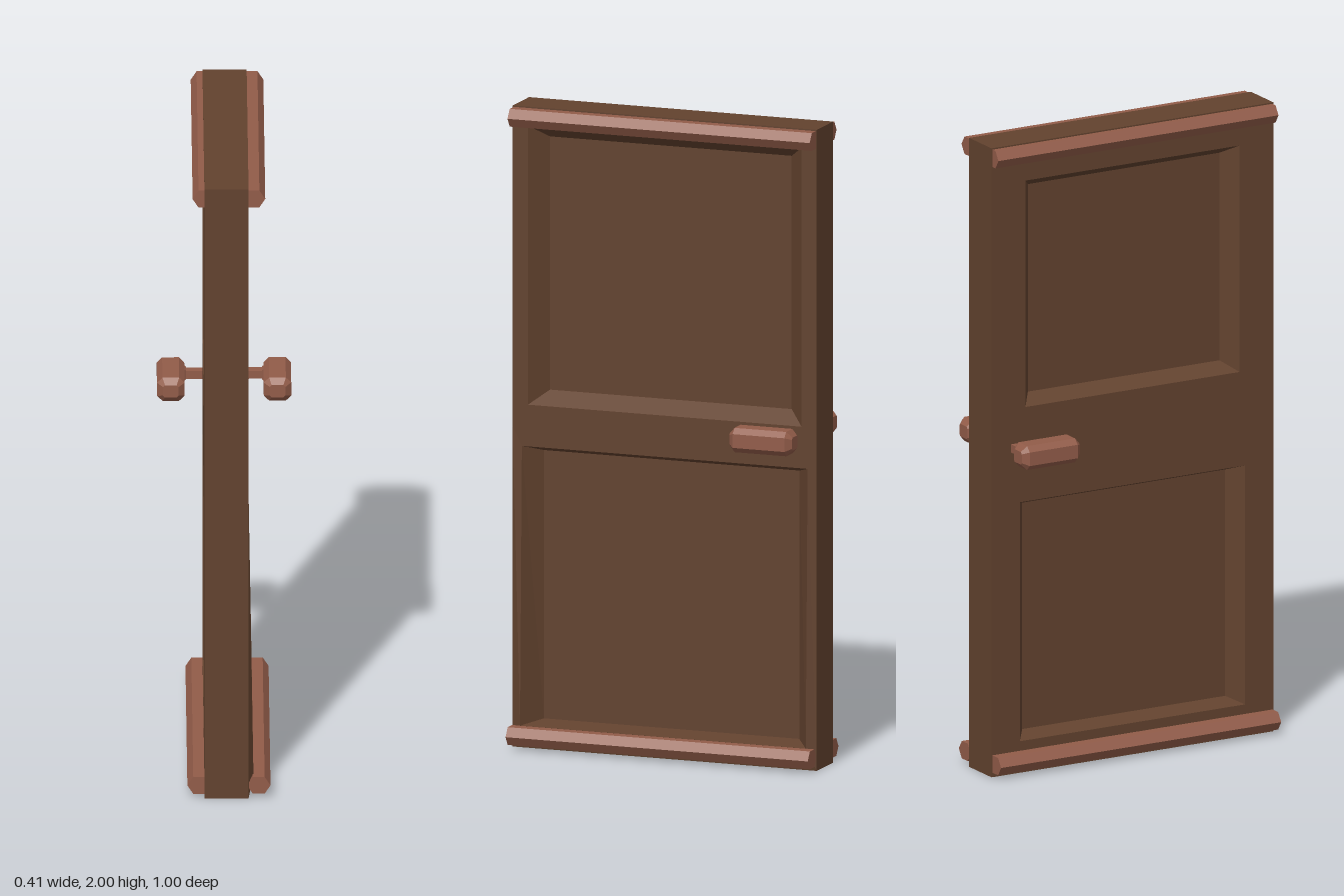
import * as THREE from 'three';

const darkWood = new THREE.MeshStandardMaterial({ color: 0x62422e });
darkWood.name = 'dark wood';
const redWood = new THREE.MeshStandardMaterial({ color: 0x925c49 });
redWood.name = 'reddish wood';

// Rectangle in a plane of constant x; the bottom edge may sit at another x.
// Order: bottom +z, bottom -z, top -z, top +z.
const rect = (x, z0, z1, y0, y1, xBottom = x) =>
  [[xBottom, y0, z1], [xBottom, y0, z0], [x, y0 + (y1 - y0), z0], [x, y1, z1]];

// Door leaf: each face has two sunken panels with sloping sides.
function makeLeaf() {
  const pos = [];
  const quad = (a, b, c, d) => pos.push(...a, ...b, ...c, ...a, ...c, ...d);
  const right = 0.07, left = -0.065, floorR = 0.013, floorL = -0.012;

  function panel(loops, flip) {
    const put = (a, b, c, d) => (flip ? quad(d, c, b, a) : quad(a, b, c, d));
    for (let k = 0; k < loops.length - 1; k++) {
      for (let i = 0; i < 4; i++) {
        const j = (i + 1) % 4;
        put(loops[k][i], loops[k][j], loops[k + 1][j], loops[k + 1][i]);
      }
    }
    put(...loops[loops.length - 1]);
  }

  // +x face; the lower rim swells slightly towards the bottom
  panel([rect(right, -0.5, 0.5, 1, 2), rect(right, -0.45, 0.45, 1.07, 1.94),
    rect(floorR, -0.395, 0.4, 1.11, 1.9)], false);
  panel([rect(right, -0.5, 0.5, 0, 1), rect(right, -0.47, 0.47, 0.07, 0.94, 0.085),
    rect(floorR, -0.42, 0.42, 0.083, 0.92)], false);
  // -x face
  panel([rect(left, -0.5, 0.5, 1, 2), rect(left, -0.38, 0.38, 1.16, 1.88),
    rect(floorL, -0.34, 0.34, 1.19, 1.85)], true);
  panel([rect(left, -0.5, 0.5, 0, 1), rect(left, -0.4, 0.4, 0.1, 0.86),
    rect(floorL, -0.36, 0.36, 0.12, 0.84)], true);

  // Outer edges
  const r = rect(right, -0.5, 0.5, 0, 2), l = rect(left, -0.5, 0.5, 0, 2);
  for (let i = 0; i < 4; i++) {
    const j = (i + 1) % 4;
    quad(r[j], r[i], l[i], l[j]);
  }
  const geo = new THREE.BufferGeometry();
  geo.setAttribute('position', new THREE.Float32BufferAttribute(pos, 3));
  geo.computeVertexNormals();
  return geo;
}

// Hexagonal rail lying along z
function hexRail() {
  const shape = new THREE.Shape();
  for (let i = 0; i < 6; i++) {
    const a = (i * Math.PI) / 3;
    shape[i ? 'lineTo' : 'moveTo'](0.036 * Math.cos(a), 0.032 * Math.sin(a));
  }
  return new THREE.ExtrudeGeometry(shape, { depth: 0.994, bevelEnabled: false })
    .translate(0, 0, -0.497);
}

// Chamfered grip along z with tapered ends
function gripGeometry() {
  const w = 0.024, h = 0.02, c = 0.006;
  const shape = new THREE.Shape([
    [w, -h + c], [w, h - c], [w - c, h], [-w + c, h],
    [-w, h - c], [-w, -h + c], [-w + c, -h], [w - c, -h],
  ].map(([x, y]) => new THREE.Vector2(x, y)));
  return new THREE.ExtrudeGeometry(shape, {
    depth: 0.17, bevelEnabled: true, bevelSegments: 1, bevelThickness: 0.018, bevelSize: 0.018,
  }).translate(0, 0, -0.085);
}

export function createModel() {
  const model = new THREE.Group();
  model.name = 'door';
  const add = (name, geo, mat, x, y, z, parent = model) => {
    const mesh = new THREE.Mesh(geo, mat);
    mesh.name = name;
    mesh.position.set(x, y, z);
    parent.add(mesh);
    return mesh;
  };

  add('doorLeaf', makeLeaf(), darkWood, 0, 0, 0);

  // Rails across the top and bottom of both faces
  const rail = hexRail();
  add('topRailLeft', rail, redWood, 0.085, 1.968, 0);
  add('topRailRight', rail, redWood, -0.065, 1.968, 0);
  add('bottomRailLeft', rail, redWood, 0.101, 0.042, 0);
  add('bottomRailRight', rail, redWood, -0.081, 0.042, 0);

  // A handle on each face: thin stem, flared collar and grip
  const grip = gripGeometry();
  const stem = new THREE.BoxGeometry(0.09, 0.026, 0.03);
  const collar = new THREE.CylinderGeometry(0.036, 0.021, 0.014, 4).toNonIndexed()
    .rotateY(Math.PI / 4).rotateZ(-Math.PI / 2);
  collar.computeVertexNormals();
  for (const s of [1, -1]) {
    const handle = new THREE.Group();
    handle.name = s > 0 ? 'handleLeft' : 'handleRight';
    add('stem', stem, redWood, s * 0.09, 1.036, -0.416, handle);
    add('collar', collar, redWood, s * 0.123, 1.036, -0.416, handle).rotation.y = s > 0 ? 0 : Math.PI;
    add('grip', grip, redWood, s * 0.163, 1.038, -0.362, handle);
    model.add(handle);
  }
  return model;
}
